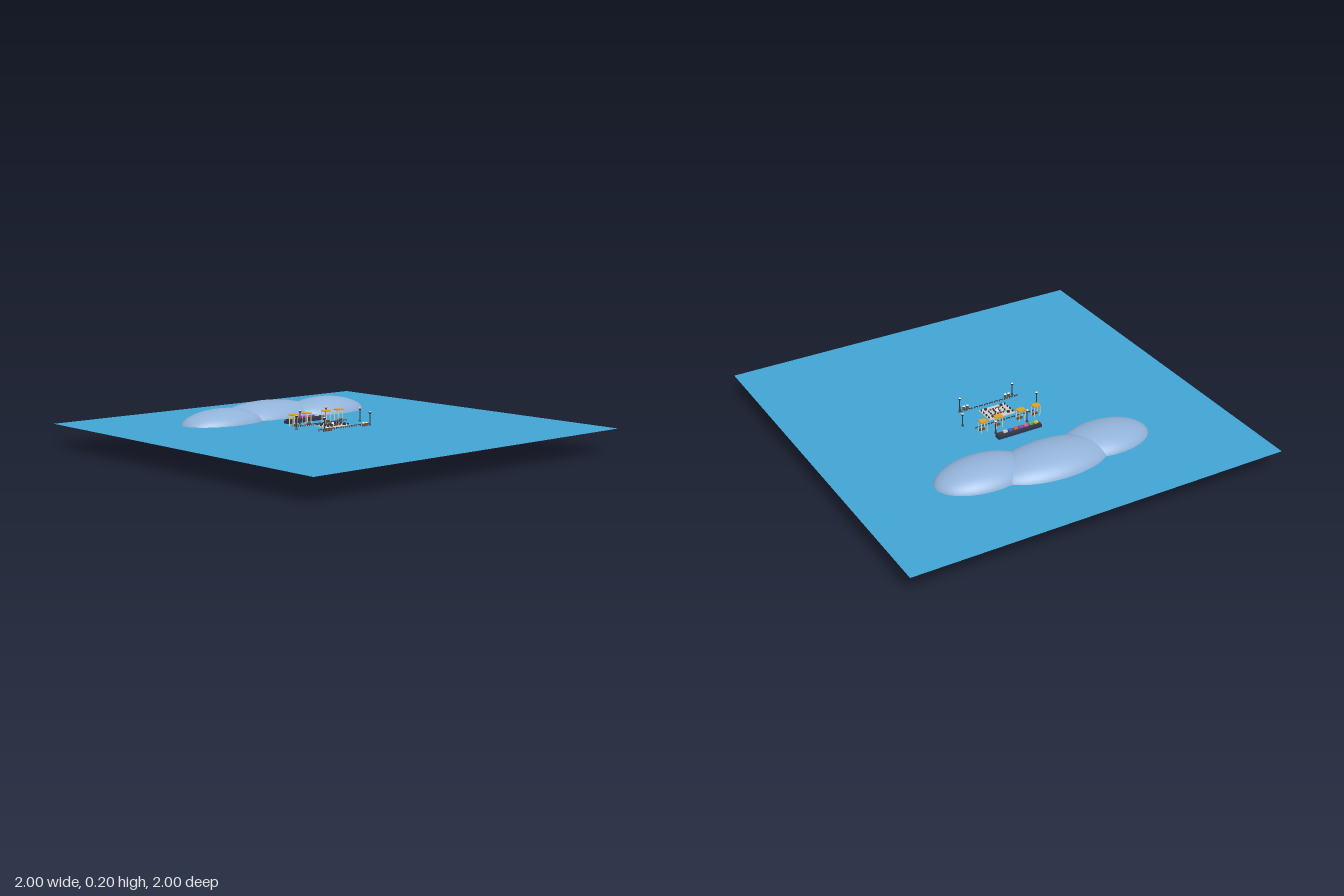
import * as THREE from 'three';

const G = 0.12; // ground level
const mat = (color, side = THREE.FrontSide) => new THREE.MeshStandardMaterial({ color, side });
const dark = mat(0x3a3a42), stone = mat(0xbfbfc2), amber = mat(0xe0a020), cream = mat(0xe8dcc8);
const wood = mat(0x6b4a35), white = mat(0xf2f2ea), navy = mat(0x2c3550), red = mat(0xb04a3a);

function add(parent, name, geo, material, x, y, z) {
  const m = new THREE.Mesh(geo, material);
  m.name = name;
  m.position.set(x, y, z);
  parent.add(m);
  return m;
}

// box whose base sits at height y above the ground
const box = (p, name, w, h, d, m, x, y, z) =>
  add(p, name, new THREE.BoxGeometry(w, h, d), m, x, G + y + h / 2, z);
const rod = (p, name, rTop, rBase, h, m, x, y, z) =>
  add(p, name, new THREE.CylinderGeometry(rTop, rBase, h, 10), m, x, G + y + h / 2, z);

function group(parent, name) {
  const g = new THREE.Group();
  g.name = name;
  parent.add(g);
  return g;
}

function lamp(parent, x, z, h, capMat) {
  const g = group(parent, 'lampPost');
  rod(g, 'lampBase', 0.004, 0.007, 0.01, dark, x, 0, z);
  rod(g, 'lampPole', 0.002, 0.003, h - 0.02, dark, x, 0.01, z);
  rod(g, 'lampHead', 0.008, 0.004, 0.01, capMat, x, h - 0.012, z);
  rod(g, 'lampCap', 0.003, 0.007, 0.003, white, x, h - 0.002, z);
}

// open stall: four posts, a counter and a flat canopy
function stall(parent, x, z) {
  const g = group(parent, 'stall');
  for (const sx of [-1, 1]) for (const sz of [-1, 1])
    box(g, 'stallPost', 0.003, 0.056, 0.003, cream, x + sx * 0.016, 0, z + sz * 0.013);
  box(g, 'stallCounter', 0.032, 0.012, 0.006, wood, x, 0, z + 0.01);
  box(g, 'stallCanopy', 0.04, 0.005, 0.034, amber, x, 0.056, z);
}

function fence(parent, z) {
  const g = group(parent, 'fence');
  for (let i = 0; i < 12; i++) {
    const x = -0.16 + i * 0.0291;
    box(g, 'fenceRail', 0.021, 0.003, 0.004, dark, x, 0.006, z);
    for (const s of [-1, 1]) box(g, 'fenceFoot', 0.003, 0.006, 0.003, wood, x + s * 0.008, 0, z);
  }
}

export function createModel() {
  const model = new THREE.Group();
  model.name = 'waterfront';

  // water sheet
  const water = add(model, 'water', new THREE.PlaneGeometry(2, 2), mat(0x42a4d4, THREE.DoubleSide), 0, G, 0);
  water.rotation.x = -Math.PI / 2;

  // three overlapping smooth hills
  const hillMat = mat(0x92b2d8);
  for (const [x, y, z, rx, ry, rz] of [
    [0, 0.1, -0.517, 0.32, 0.1, 0.168],
    [-0.327, 0.104, -0.476, 0.243, 0.086, 0.153],
    [0.341, 0.105, -0.46, 0.254, 0.092, 0.154],
  ]) add(model, 'hill', new THREE.SphereGeometry(1, 48, 32), hillMat, x, y, z).scale.set(rx, ry, rz);

  // display bench with a row of coloured goods
  const bench = group(model, 'displayBench');
  box(bench, 'benchBase', 0.245, 0.014, 0.036, navy, 0, 0, -0.217);
  box(bench, 'benchTop', 0.235, 0.008, 0.026, dark, 0, 0.014, -0.217);
  [0xd8c040, 0x58b050, 0xd860a0, 0x8850c0, 0xd06030, 0x4060c0, 0xf0f0f0].forEach((c, i) =>
    box(bench, 'goods', 0.022, 0.008, 0.016, mat(c), -0.097 + i * 0.029, 0.022, -0.217));

  // four stalls
  for (const x of [-0.152, -0.065, 0.063, 0.15]) stall(model, x, -0.125);

  // fences on both sides of the court
  fence(model, -0.088);
  fence(model, 0.084);

  // paved court with blocks set around the rim and centre
  const court = group(model, 'court');
  box(court, 'paving', 0.15, 0.005, 0.108, stone, 0, 0, -0.002);
  for (const s of [-1, 1]) {
    for (let i = 0; i < 4; i++) {
      box(court, 'rimBlock', 0.005, 0.009, 0.009, dark, s * 0.068, 0.005, -0.041 + i * 0.026);
      box(court, 'innerBlock', 0.01, 0.007, 0.004, wood, -0.024 + i * 0.016, 0.005, -0.002 + s * 0.024);
    }
    for (const t of [-1, 1]) {
      box(court, 'cornerBlock', 0.012, 0.01, 0.01, dark, s * 0.044, 0.005, -0.002 + t * 0.037);
      box(court, 'sideBlock', 0.004, 0.008, 0.01, dark, s * 0.04, 0.005, -0.002 + t * 0.01);
      box(court, 'centreBlock', 0.007, 0.008, 0.006, dark, s * 0.012, 0.005, -0.002 + t * 0.008);
    }
  }
  rod(court, 'centrePiece', 0.006, 0.009, 0.014, white, 0, 0.005, -0.002);

  // lamps at the court sides and behind the stalls
  for (const s of [-1, 1]) lamp(model, s * 0.212, -0.032, 0.07, dark);
  lamp(model, 0.105, -0.172, 0.07, red);
  lamp(model, -0.082, -0.158, 0.07, red);

  // front corner groups: a tall lamp with low bollards beside it
  for (const s of [-1, 1]) {
    lamp(model, s * 0.152, 0.107, 0.07, dark);
    for (const x of [0.13, 0.11]) {
      rod(model, 'bollard', 0.006, 0.008, 0.016, wood, s * x, 0, 0.105);
      rod(model, 'bollardCap', 0.005, 0.007, 0.004, white, s * x, 0.016, 0.105);
    }
  }
  return model;
}
